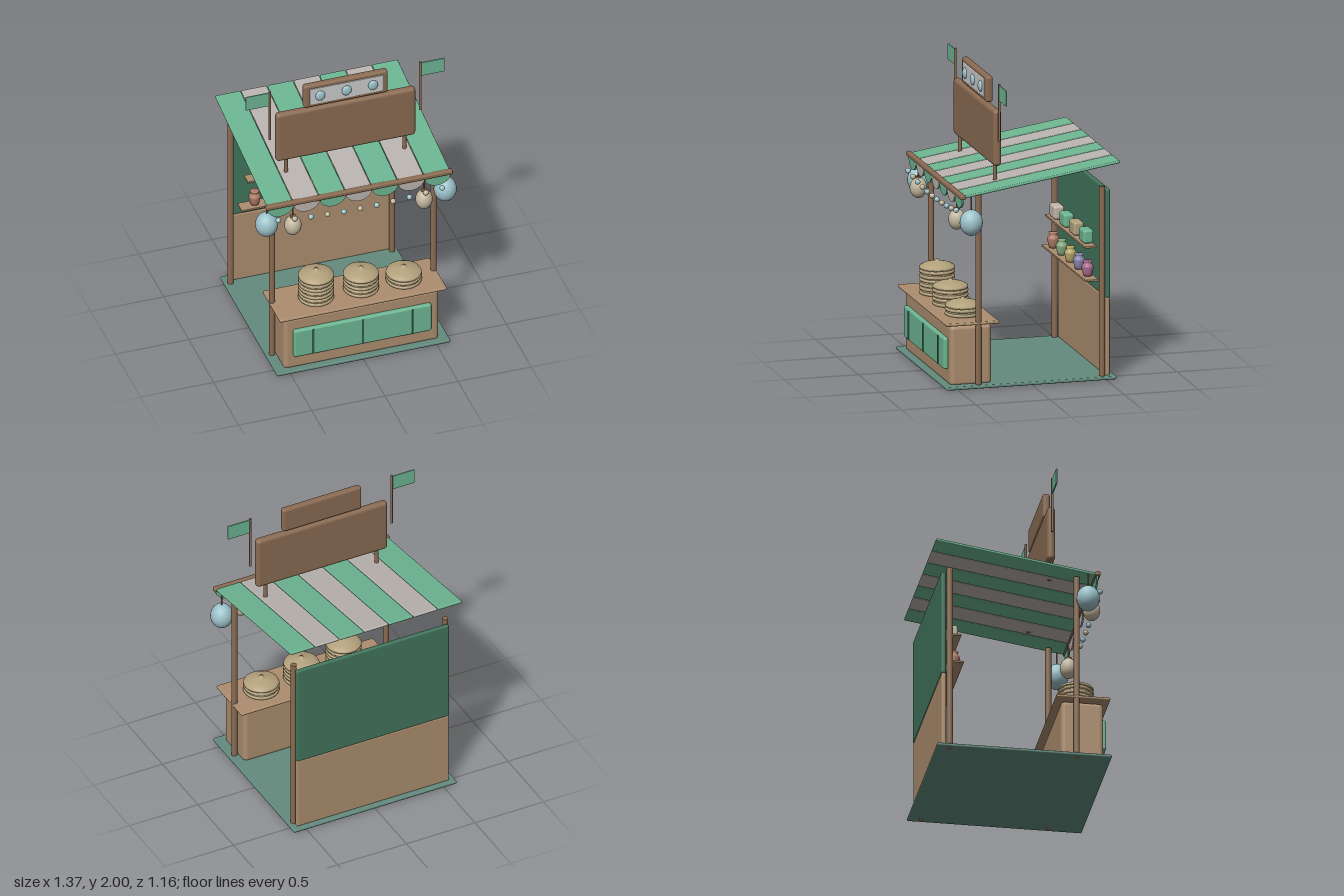
import * as THREE from 'three';
import { RoundedBoxGeometry } from 'three/addons/geometries/RoundedBoxGeometry.js';

const mat = (color, side = THREE.FrontSide) => new THREE.MeshStandardMaterial({ color, side });
const green = mat(0x6db692), white = mat(0xbab4af), brown = mat(0x8a6b52), wood = mat(0xad8e6f);
const darkGreen = mat(0x41755c), floorGreen = mat(0x648b7e), trim = mat(0x3f7a5e), bamboo = mat(0xb3a17c);
const blue = mat(0x9dc3cb), cream = mat(0xc4b9a0), grey = mat(0xcccccc);

export function createModel() {
  const root = new THREE.Group();

  const add = (name, geometry, material, x, y, z, parent = root) => {
    const mesh = new THREE.Mesh(geometry, material);
    mesh.name = name;
    mesh.position.set(x, y, z);
    parent.add(mesh);
    return mesh;
  };
  // Softened block centred on x, y, z
  const block = (name, material, w, h, d, x, y, z, r = 0.008, parent = root) =>
    add(name, new RoundedBoxGeometry(w, h, d, 3, Math.min(r, w * 0.49, h * 0.49, d * 0.49)), material, x, y, z, parent);
  // Upright rod from y0 to y1
  const rod = (name, material, r, y0, y1, x, z, parent = root) =>
    add(name, new THREE.CylinderGeometry(r, r, y1 - y0, 16), material, x, (y0 + y1) / 2, z, parent);
  const ball = (name, material, rx, ry, rz, x, y, z, parent = root) => {
    const mesh = add(name, new THREE.SphereGeometry(1, 24, 16), material, x, y, z, parent);
    mesh.scale.set(rx, ry, rz);
    return mesh;
  };
  const group = (name) => {
    const g = new THREE.Group();
    g.name = name;
    root.add(g);
    return g;
  };

  // Floor, corner posts and back wall
  block('floor', floorGreen, 1.185, 0.022, 1.145, 0, 0.012, 0.005);
  for (const s of [-1, 1]) {
    rod('frontPost', brown, 0.02, 0, 1.285, s * 0.552, 0.353);
    rod('rearPost', brown, 0.02, 0, 1.285, s * 0.552, -0.48);
  }
  block('lowerBackWall', wood, 1.11, 0.525, 0.032, 0, 0.28, -0.518, 0.012);
  block('upperBackWall', darkGreen, 1.11, 0.725, 0.032, 0, 0.9, -0.52, 0.012);

  // Counter with a divided front panel
  block('counterBody', wood, 1.06, 0.405, 0.28, 0, 0.211, 0.395, 0.03);
  block('counterTop', wood, 1.14, 0.02, 0.355, 0, 0.43, 0.395);
  block('counterPanel', green, 0.94, 0.21, 0.04, 0, 0.218, 0.543, 0.015);
  for (const x of [-0.34, 0, 0.34]) block('panelDivider', trim, 0.012, 0.19, 0.012, x, 0.218, 0.564, 0.004);

  // Steamer stacks: each tier is a drum with two rims, closed by a domed lid
  const tierHeight = 0.056;
  const lidProfile = [[0, 0], [0.114, 0], [0.117, 0.008], [0.112, 0.018], [0.085, 0.033], [0.045, 0.044], [0.016, 0.048], [0.014, 0.058], [0, 0.061]]
    .map(([x, y]) => new THREE.Vector2(x, y));
  [[-0.265, 3], [0.042, 2], [0.334, 1]].forEach(([x, tiers]) => {
    const stack = group('steamerStack');
    stack.position.set(x, 0.44, 0.395);
    for (let i = 0; i < tiers; i++) {
      const y = i * tierHeight;
      rod('steamerTier', bamboo, 0.109, y, y + tierHeight, 0, 0, stack);
      for (const dy of [0.011, 0.042]) {
        const rim = add('steamerRim', new THREE.TorusGeometry(0.107, 0.011, 8, 32), bamboo, 0, y + dy, 0, stack);
        rim.rotation.x = Math.PI / 2;
      }
    }
    add('steamerLid', new THREE.LatheGeometry(lidProfile, 32), bamboo, 0, tiers * tierHeight, 0, stack);
  });

  // Shelves with boxes and jars
  block('upperShelf', wood, 0.93, 0.014, 0.08, 0, 0.86, -0.428, 0.004);
  block('lowerShelf', wood, 1.02, 0.014, 0.09, 0, 0.648, -0.424, 0.004);
  [mat(0xc1b5a8), green, bamboo, green].forEach((m, i) =>
    block('shelfBox', m, 0.122, 0.092, 0.07, -0.342 + i * 0.227, 0.913, -0.434, 0.018));
  const jarProfile = [[0, 0], [0.026, 0], [0.032, 0.02], [0.04, 0.058], [0.037, 0.07], [0.025, 0.084], [0.025, 0.092], [0.03, 0.103], [0, 0.105]]
    .map(([x, y]) => new THREE.Vector2(x, y));
  [0xb17c68, 0x88a880, 0xb9a866, 0x8986b0, 0xac6c8e].forEach((c, i) =>
    add('jar', new THREE.LatheGeometry(jarProfile, 20), mat(c), -0.405 + i * 0.2, 0.655, -0.428));

  // Sloping striped awning and its scalloped valance
  const awning = group('awning');
  awning.position.set(0, 1.372, -0.05);
  awning.rotation.x = 0.157;
  const scallop = new THREE.Shape();
  scallop.moveTo(-0.087, 0);
  scallop.lineTo(-0.087, -0.02);
  scallop.bezierCurveTo(-0.06, -0.095, 0.06, -0.095, 0.087, -0.02);
  scallop.lineTo(0.087, 0);
  const scallopGeometry = new THREE.ExtrudeGeometry(scallop, { depth: 0.012, bevelEnabled: false, curveSegments: 16 });
  for (let i = 0; i < 7; i++) {
    const x = (i - 3) * 0.179, m = i % 2 ? white : green;
    block('awningStripe', m, 0.174, 0.018, 1.074, x, 0, 0, 0.007, awning);
    add('valanceScallop', scallopGeometry, m, x, 1.28, 0.471);
  }
  block('awningBar', brown, 1.275, 0.032, 0.036, 0, 1.29, 0.479, 0.01);

  // Sagging row of beads
  for (let i = -5; i <= 5; i++) {
    const x = i * 0.112;
    ball('bead', i % 2 ? blue : cream, 0.018, 0.018, 0.018, x, 1.158 + 0.035 * (i / 5) ** 2, 0.505);
  }

  // Hanging lanterns
  for (const s of [-1, 1]) {
    ball('blueLantern', blue, 0.075, 0.086, 0.075, s * 0.61, 1.116, 0.418);
    rod('lanternCord', brown, 0.005, 1.19, 1.3, s * 0.61, 0.418);
    ball('creamLantern', cream, 0.056, 0.07, 0.056, s * 0.448, 1.106, 0.468);
    rod('lanternCap', brown, 0.02, 1.168, 1.182, s * 0.448, 0.468);
    rod('lanternCord', brown, 0.005, 1.18, 1.28, s * 0.448, 0.468);
  }

  // Roof sign boards
  block('signBoard', brown, 0.955, 0.375, 0.055, 0, 1.629, 0.2, 0.025);
  block('topSignBoard', brown, 0.575, 0.175, 0.048, 0, 1.912, 0.2, 0.018);
  block('topSignPanel', grey, 0.5, 0.125, 0.014, 0, 1.912, 0.222, 0.005);
  for (const x of [-0.18, 0, 0.18]) ball('signStud', blue, 0.033, 0.037, 0.016, x, 1.913, 0.232);

  // Sign supports, flag poles and flags
  for (const s of [-1, 1]) {
    rod('signSupport', brown, 0.013, 1.32, 1.47, s * 0.405, 0.2);
    rod('flagPole', brown, 0.008, 1.62, 2, s * 0.514, 0.2);
    block('flag', green, 0.16, 0.105, 0.01, s * 0.6, 1.941, 0.2, 0.004);
  }
  return root;
}
